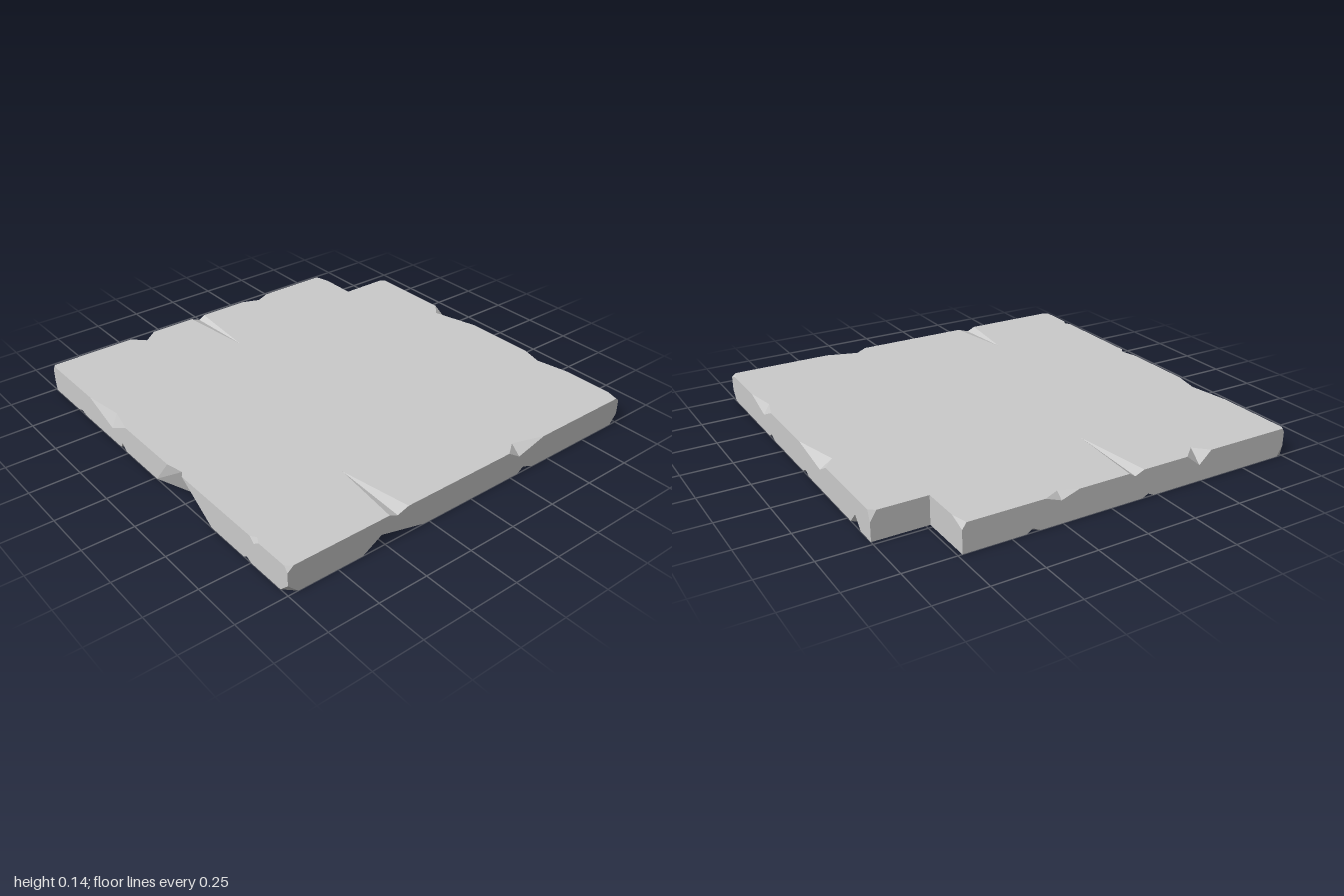
import * as THREE from 'three';

const H = 0.14;
const V = (x, y, z) => new THREE.Vector3(x, y, z);

// Outline, counter-clockwise from above: top [x, z], bottom [x, z] (if different),
// and broken corners as [length before, length after, height] for top and bottom.
const corners = [
  { top: [-1, 1], cutTop: [0.01, 0.02, 0.02], cutBottom: [0.03, 0.01, 0.05] },
  { top: [0.12, 1], bottom: [0.01, 1] },
  { top: [0.21, 0.98], bottom: [0.2, 0.93] },
  { top: [0.24, 1], bottom: [0.46, 1] },
  { top: [1, 1], cutTop: [0.02, 0.03, 0.025], cutBottom: [0.05, 0.05, 0.05] },
  { top: [1, -1], cutTop: [0.02, 0.06, 0.015], cutBottom: [0.04, 0.04, 0.05] },
  { top: [-0.73, -1], cutTop: [0.02, 0.03, 0.05] },
  { top: [-0.73, -0.73] },
  { top: [-1, -0.73], cutTop: [0.08, 0.02, 0.03] },
];

// Chips and cracks per edge: [from, tip, to] along the edge, inset, height
const topChips = {
  0: [[-0.6, -0.39, -0.25, 0.03, 0.07]],
  3: [[0.75, 0.775, 0.81, 0.018, 0.025]],
  4: [[0.48, 0.435, 0.375, 0.36, 0.02], [-0.23, -0.3, -0.46, 0.05, 0.045]],
  5: [[0.68, 0.51, 0.4, 0.03, 0.05], [0.03, -0.21, -0.28, 0.06, 0.04]],
  8: [[-0.34, -0.26, -0.17, 0.035, 0.03], [0.09, 0.122, 0.17, 0.4, 0.02],
    [0.41, 0.485, 0.55, 0.065, 0.06]],
};
const bottomChips = {
  0: [[-0.75, -0.71, -0.67, 0.03, 0.012], [-0.32, -0.3, -0.27, 0.03, 0.028]],
  3: [[0.7, 0.72, 0.75, 0.42, 0.015]],
  4: [[0.62, 0.52, 0.28, 0.08, 0.06], [-0.3, -0.335, -0.4, 0.04, 0.025]],
  5: [[0.45, 0.42, 0.38, 0.34, 0.02], [0.01, -0.03, -0.06, 0.03, 0.02],
    [-0.53, -0.58, -0.63, 0.05, 0.055]],
  8: [[-0.43, -0.4, -0.36, 0.03, 0.02], [0.17, 0.2, 0.23, 0.22, 0.015]],
};

export function createModel() {
  const positions = [];

  // Planar polygon, triangulated and turned to face along n
  function addFace(points, n) {
    const e1 = Math.abs(n.y) > 0.9 ? V(1, 0, 0) : V(0, 1, 0).cross(n).normalize();
    const e2 = n.clone().cross(e1).normalize();
    const flat = points.map(p => new THREE.Vector2(p.dot(e1), p.dot(e2)));
    for (const tri of THREE.ShapeUtils.triangulateShape(flat, [])) {
      let [a, b, c] = tri.map(i => points[i]);
      const normal = b.clone().sub(a).cross(c.clone().sub(a));
      if (normal.dot(n) < 0) [b, c] = [c, b];
      for (const p of [a, b, c]) positions.push(p.x, p.y, p.z);
    }
  }

  // Three-cornered break, turned towards a point
  function addBreak(a, b, c, toward) {
    const n = b.clone().sub(a).cross(c.clone().sub(a));
    if (n.dot(toward.clone().sub(a)) < 0) [b, c] = [c, b];
    for (const p of [a, b, c]) positions.push(p.x, p.y, p.z);
  }

  const walls = corners.map(() => ({}));

  // Top and bottom faces, with the chips along their edges
  for (const level of ['top', 'bottom']) {
    const isTop = level === 'top';
    const y = isTop ? H : 0;
    const inward = isTop ? -1 : 1;
    const chips = isTop ? topChips : bottomChips;
    const cutOf = c => (isTop ? c.cutTop : c.cutBottom);
    const place = c => {
      const [x, z] = c[level] ?? c.top;
      return V(x, y, z);
    };
    const face = [];

    corners.forEach((corner, i) => {
      const next = corners[(i + 1) % corners.length];
      const start = place(corner), end = place(next);
      const dir = end.clone().sub(start).normalize();
      const out = V(-dir.z, 0, dir.x);
      const wall = [];
      walls[i].out = out;

      // Start of the edge, with its broken corner
      const startCut = cutOf(corner), endCut = cutOf(next);
      let first = start;
      if (startCut) {
        first = start.clone().addScaledVector(dir, startCut[1]);
        wall.push(start.clone().setY(y + inward * startCut[2]));
      }
      face.push(first);
      wall.push(first);

      // Notches shared by the flat face and the wall
      const axis = Math.abs(dir.x) > 0.5 ? 'x' : 'z';
      for (const [from, tip, to, inset, height] of chips[i] ?? []) {
        const [a, m, b] = [from, tip, to].map(v => {
          const p = start.clone();
          p[axis] = v;
          return p;
        });
        const deep = m.clone().addScaledVector(out, -inset);
        const side = m.clone().setY(y + inward * height);
        face.push(a, deep, b);
        wall.push(a, side, b);
        addBreak(a, deep, side, b);
        addBreak(b, deep, side, a);
      }

      // End of the edge
      if (endCut) {
        const last = end.clone().addScaledVector(dir, -endCut[0]);
        const low = end.clone().setY(y + inward * endCut[2]);
        const after = corners[(i + 2) % corners.length];
        const nextDir = place(after).sub(end).normalize();
        face.push(last);
        wall.push(last, low);
        addBreak(last, end.clone().addScaledVector(nextDir, endCut[1]), low, end);
      } else {
        wall.push(end);
      }
      walls[i][level] = wall;
    });
    addFace(face, V(0, isTop ? 1 : -1, 0));
  }

  // Side walls between the two outlines
  for (const { top, bottom, out } of walls) {
    addFace([...bottom, ...top.slice().reverse()], out);
  }

  const geometry = new THREE.BufferGeometry();
  geometry.setAttribute('position', new THREE.Float32BufferAttribute(positions, 3));
  geometry.computeVertexNormals();
  const slab = new THREE.Mesh(geometry, new THREE.MeshStandardMaterial({
    color: 0xcccccc, flatShading: true,
  }));
  slab.name = 'chippedStoneSlab';

  const group = new THREE.Group();
  group.name = 'floorTile';
  group.add(slab);
  return group;
}
